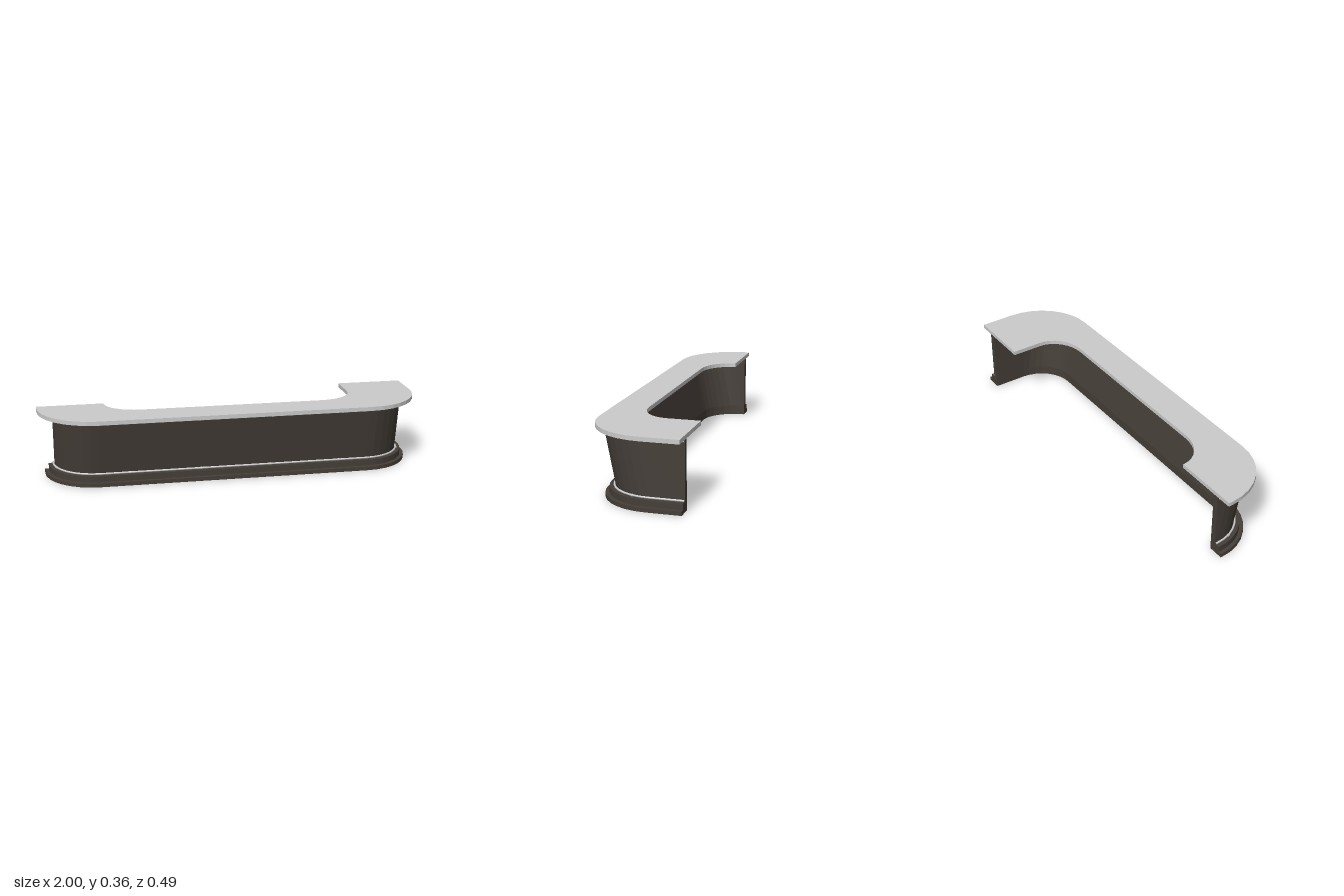
import * as THREE from 'three';

const CX = 0.7, CZ = -0.07;            // centre of the rounded corners
const END_L = -0.08, END_R = -0.243;   // where the short and long arms stop
const LEAN = 0.056;                    // forward lean of the front panel

// Plan line of the counter: short arm, corner, front, corner, long arm, as (x, z)
function planLine(cx, cz, rx, rz = rx, segs = 8) {
  const pts = [new THREE.Vector2(-cx - rx, END_L)];
  for (const side of [-1, 1]) {
    for (let i = 0; i <= segs; i++) {
      const a = (side < 0 ? i : segs - i) / segs * Math.PI / 2;
      pts.push(new THREE.Vector2(side * (cx + rx * Math.cos(a)), cz + rz * Math.sin(a)));
    }
  }
  pts.push(new THREE.Vector2(cx + rx, END_R));
  return pts;
}

// Upright band between an outer and an inner plan line
function band(outer, inner, y, height) {
  const outline = [...outer, ...inner.slice().reverse()].map(p => new THREE.Vector2(p.x, -p.y));
  const geo = new THREE.ExtrudeGeometry(new THREE.Shape(outline), { depth: height, bevelEnabled: false });
  geo.rotateX(-Math.PI / 2);
  geo.translate(0, y, 0);
  return geo;
}

export function createModel() {
  const group = new THREE.Group();
  const wood = new THREE.MeshStandardMaterial({ color: 0x453e38, flatShading: true });
  const stone = new THREE.MeshStandardMaterial({ color: 0xcccccc, flatShading: true });
  const metal = new THREE.MeshStandardMaterial({ color: 0xcccccc });
  const add = (name, geo, mat, parent = group) => {
    const mesh = new THREE.Mesh(geo, mat);
    mesh.name = name;
    parent.add(mesh);
    return mesh;
  };

  const inner = planLine(CX, CZ, 0.19);

  // Stepped plinth
  add('lowerPlinth', band(planLine(CX, CZ, 0.27), inner, 0, 0.02), wood);
  add('upperPlinth', band(planLine(CX, CZ, 0.25), inner, 0.02, 0.031), wood);

  // Leaning panel: everything but the two cut ends shifts forward with height
  const y0 = 0.051, y1 = 0.338;
  const panel = band(planLine(CX, CZ, 0.22), inner, y0, y1 - y0);
  const pos = panel.attributes.position;
  for (let i = 0; i < pos.count; i++) {
    const z = pos.getZ(i);
    if (z > CZ - 0.005) pos.setZ(i, z + LEAN * (pos.getY(i) - y0) / (y1 - y0));
  }
  panel.computeVertexNormals();
  add('panel', panel, wood);

  // Counter top, wider over the arms than along the front
  const topOuter = planLine(CX, -0.06, 0.3, 0.303);
  const topInner = planLine(0.475, -0.08, 0.18, 0.15);
  add('counterTop', band(topOuter, topInner, 0.338, 0.021), stone);

  // Metal rails with small collars, at the foot and the head of the panel
  const railR = 0.227;
  for (const [name, y, shift] of [['footRail', 0.056, 0], ['headRail', 0.333, LEAN]]) {
    const rail = new THREE.Group();
    rail.name = name;
    group.add(rail);
    const line = planLine(CX, CZ + shift, railR).map(p => new THREE.Vector3(p.x, y, p.y));
    const path = new THREE.CurvePath();
    for (let i = 1; i < line.length; i++) {
      if (line[i].distanceTo(line[i - 1]) > 1e-4) path.add(new THREE.LineCurve3(line[i - 1], line[i]));
    }
    add('railTube', new THREE.TubeGeometry(path, 200, 0.005, 8, false), metal, rail);

    const collar = new THREE.CylinderGeometry(0.0065, 0.0065, 0.009, 10);
    for (const x of [-0.55, -0.18, 0.18, 0.55]) {
      const c = add('collar', collar, metal, rail);
      c.position.set(x, y, CZ + shift + railR);
      c.rotation.z = Math.PI / 2;
    }
    for (const side of [-1, 1]) {
      const a = 0.35;
      const c = add('cornerCollar', collar, metal, rail);
      c.position.set(side * (CX + railR * Math.cos(a)), y, CZ + shift + railR * Math.sin(a));
      c.quaternion.setFromUnitVectors(new THREE.Vector3(0, 1, 0),
        new THREE.Vector3(-side * Math.sin(a), 0, Math.cos(a)));
    }
  }
  return group;
}
